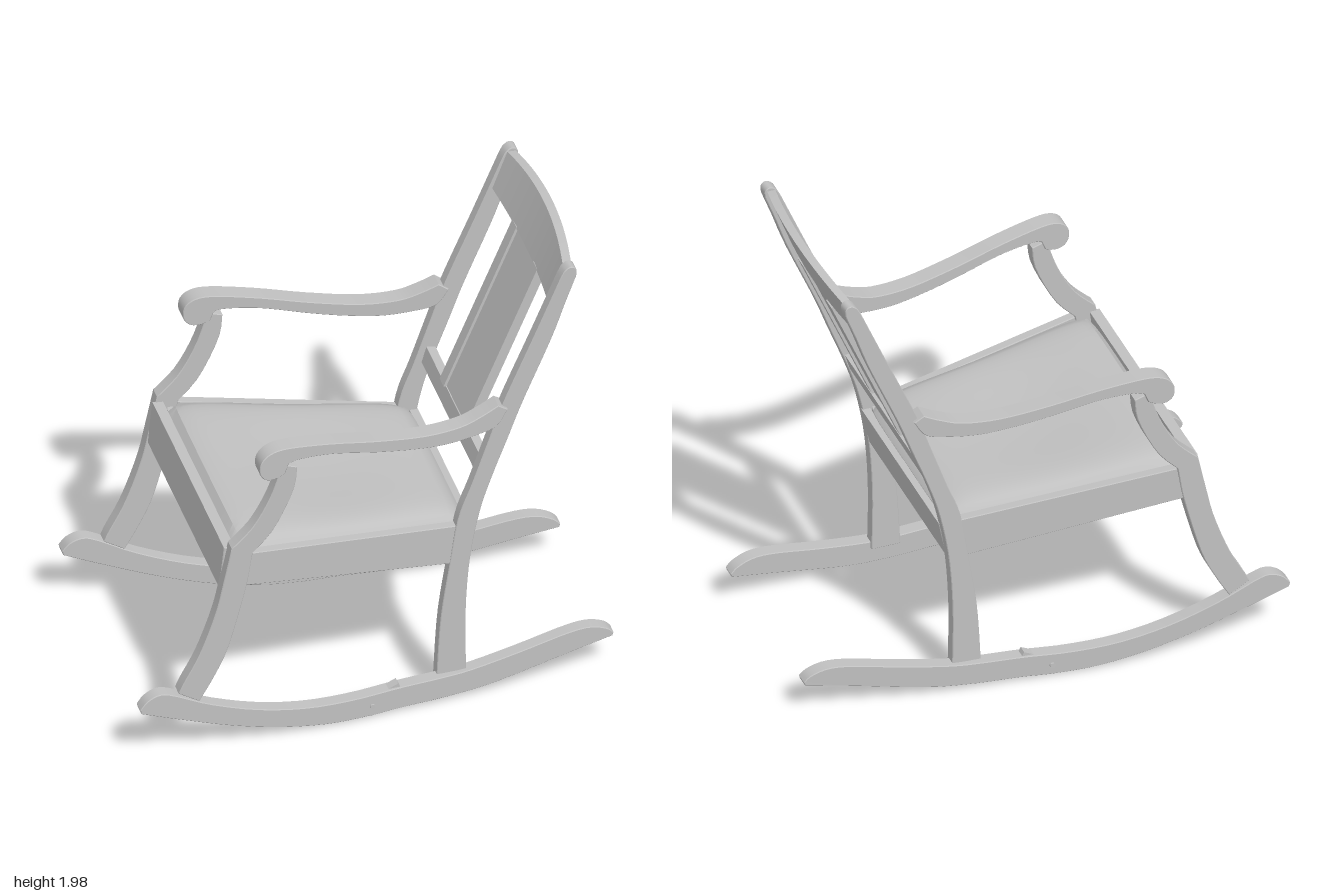
import * as THREE from 'three';
import { toCreasedNormals } from 'three/addons/utils/BufferGeometryUtils.js';

const grey = new THREE.MeshStandardMaterial({ color: 0xc0c0c0 });
grey.name = 'plain grey';

const vecs = (pts) => pts.map(([x, y]) => new THREE.Vector2(x, y));
const smooth = (pts, n = 24) => new THREE.SplineCurve(vecs(pts)).getPoints(n);

function addMesh(parent, name, geometry) {
  const mesh = new THREE.Mesh(toCreasedNormals(geometry, 0.6), grey);
  mesh.name = name;
  parent.add(mesh);
  return mesh;
}

// Board cut from a side outline; its middle follows zAt(x)
function board(outline, width, zAt = () => 0) {
  const bevel = 0.003;
  const geo = new THREE.ExtrudeGeometry(new THREE.Shape(outline), {
    depth: width - 2 * bevel, bevelThickness: bevel,
    bevelSize: bevel, bevelOffset: -bevel, bevelSegments: 1,
  });
  geo.translate(0, 0, -(width - 2 * bevel) / 2);
  return bend(geo, (p) => { p.z += zAt(p.x); });
}

// Move every vertex by a rule
function bend(geo, rule) {
  const pos = geo.attributes.position;
  const p = new THREE.Vector3();
  for (let i = 0; i < pos.count; i++) {
    rule(p.fromBufferAttribute(pos, i));
    pos.setXYZ(i, p.x, p.y, p.z);
  }
  return geo;
}

// Side outlines, each from smooth edges
const rockerOutline = [
  ...smooth([[-1, 0.265], [-0.97, 0.3], [-0.92, 0.32], [-0.86, 0.305], [-0.7, 0.225], [-0.5, 0.153],
    [-0.3, 0.112], [-0.1, 0.103], [0.1, 0.115], [0.27, 0.12], [0.4, 0.13], [0.6, 0.165],
    [0.8, 0.207], [0.9, 0.214], [0.97, 0.192], [1, 0.165]], 48),
  ...smooth([[0.995, 0.15], [0.8, 0.11], [0.5, 0.045], [0.3, 0.024], [0.1, 0.018], [-0.02, 0.01],
    [-0.2, 0.012], [-0.4, 0.043], [-0.6, 0.098], [-0.8, 0.17], [-0.995, 0.247]], 36),
];
const postOutline = [
  ...smooth([[0.26, 0.1], [0.277, 0.38], [0.315, 0.64], [0.35, 0.85], [0.405, 1], [0.475, 1.2],
    [0.535, 1.37], [0.66, 1.66], [0.77, 1.92]], 30),
  ...smooth([[0.785, 1.95], [0.805, 1.967], [0.825, 1.967], [0.838, 1.95], [0.835, 1.92]], 8),
  ...smooth([[0.79, 1.8], [0.733, 1.64], [0.615, 1.36], [0.555, 1.2], [0.487, 1.02], [0.437, 0.86],
    [0.397, 0.64], [0.38, 0.38], [0.383, 0.1]], 30),
];
const legOutline = [
  ...smooth([[-0.835, 0.3], [-0.815, 0.345], [-0.75, 0.47], [-0.685, 0.65], [-0.65, 0.8], [-0.617, 0.955]], 16),
  ...smooth([[-0.6, 0.97], [-0.525, 1.05], [-0.455, 1.18], [-0.41, 1.32]], 10),
  ...smooth([[-0.347, 1.3], [-0.363, 1.19], [-0.443, 1.02], [-0.53, 0.92]], 10),
  ...smooth([[-0.537, 0.88], [-0.56, 0.75], [-0.63, 0.49], [-0.69, 0.355], [-0.75, 0.25]], 16),
];
const armOutline = [
  ...smooth([[-0.4, 1.285], [-0.435, 1.27], [-0.475, 1.27], [-0.505, 1.3], [-0.502, 1.355], [-0.46, 1.392],
    [-0.38, 1.4], [-0.2, 1.375], [0, 1.335], [0.2, 1.307], [0.35, 1.312], [0.44, 1.34], [0.51, 1.372]], 48),
  ...smooth([[0.55, 1.345], [0.5, 1.275], [0.4, 1.252], [0.28, 1.243], [0.15, 1.255], [0, 1.281],
    [-0.2, 1.325], [-0.34, 1.335], [-0.385, 1.325]], 30),
];
const apronOutline = vecs([[-0.59, 0.77], [-0.57, 0.917], [0.36, 0.807], [0.335, 0.633]]);
const frontRailOutline = vecs([[-0.635, 0.93], [-0.592, 0.928], [-0.615, 0.745], [-0.655, 0.745]]);
const backRailOutline = vecs([[0.39, 0.79], [0.425, 0.79], [0.392, 0.625], [0.352, 0.625]]);
const lowerBackRailOutline = vecs([[0.44, 1.01], [0.46, 1.08], [0.497, 1.075], [0.477, 1.005]]);

export function createModel() {
  const chair = new THREE.Group();
  chair.name = 'rockingChair';

  // Paired side parts
  for (const s of [1, -1]) {
    const side = new THREE.Group();
    side.name = s > 0 ? 'leftSide' : 'rightSide';
    chair.add(side);
    addMesh(side, 'rocker', board(rockerOutline, 0.06, (x) => s * (0.494 - 0.094 * x)));
    addMesh(side, 'rearPost', board(postOutline, 0.054, () => s * 0.441));
    addMesh(side, 'frontLeg', board(legOutline, 0.06, () => s * 0.562));
    addMesh(side, 'armrest', board(armOutline, 0.078, (x) => s * (0.513 - 0.128 * x)));
    addMesh(side, 'sideApron', board(apronOutline, 0.04, (x) => s * (0.487 - 0.137 * x)));

    // Peg through the rocker, with a small stud below and a block on top
    const peg = addMesh(side, 'rockerPeg', new THREE.CylinderGeometry(0.011, 0.011, 0.076, 10));
    peg.rotation.x = Math.PI / 2;
    peg.position.set(-0.02, 0.055, s * 0.496);
    const stud = addMesh(side, 'rockerStud', new THREE.CylinderGeometry(0.025, 0.015, 0.03, 10));
    stud.position.set(-0.02, 0.015, s * 0.496);
    const block = addMesh(side, 'rockerBlock', new THREE.BoxGeometry(0.05, 0.026, 0.04));
    block.position.set(0.075, 0.109, s * 0.487);
    block.rotation.z = 0.45;
  }

  // Rails across the chair
  addMesh(chair, 'frontRail', board(frontRailOutline, 1.08));
  addMesh(chair, 'backRail', board(backRailOutline, 0.85));
  addMesh(chair, 'lowerBackRail', board(lowerBackRailOutline, 0.85));

  // Crest rail, bowed backward and arched on top
  addMesh(chair, 'crestRail', bend(new THREE.BoxGeometry(0.035, 1, 0.84, 1, 1, 20), (p) => {
    const crown = 1 - (p.z / 0.42) ** 2;
    p.y = p.y > 0 ? 1.953 + 0.025 * crown : 1.79 - 0.012 * crown;
    p.x += 0.748 + 0.38 * (p.y - 1.79) + 0.028 * crown;
  }));

  // Back splat: two stiles with a recessed panel
  const splat = new THREE.Group();
  splat.name = 'backSplat';
  splat.position.set(0.62, 1.425, 0);
  splat.rotation.z = -0.4;
  chair.add(splat);
  for (const s of [1, -1]) {
    addMesh(splat, 'splatStile', new THREE.BoxGeometry(0.04, 0.77, 0.06)).position.z = s * 0.156;
  }
  addMesh(splat, 'splatPanel', new THREE.BoxGeometry(0.018, 0.77, 0.27));

  // Cushion: rounded, tapered toward the back, sagging in the middle
  addMesh(chair, 'seatCushion', bend(new THREE.BoxGeometry(2, 2, 2, 32, 1, 32), (p) => {
    const { x: u, z: v } = p;
    const top = p.y > 0;
    const x = -0.098 + 0.494 * u * (1 - 0.03 * v ** 8);
    const puff = Math.sqrt((1 - u ** 8) * (1 - v ** 8));
    const sag = 0.032 * Math.exp(-3 * u * u - 1.5 * v * v);
    p.z = v * (0.473 - 0.115 * x) * (1 - 0.03 * u ** 8);
    p.y = 0.849 - 0.115 * x + (top ? -0.01 + 0.06 * puff - sag : -0.05);
    p.x = x;
  }));

  return chair;
}
